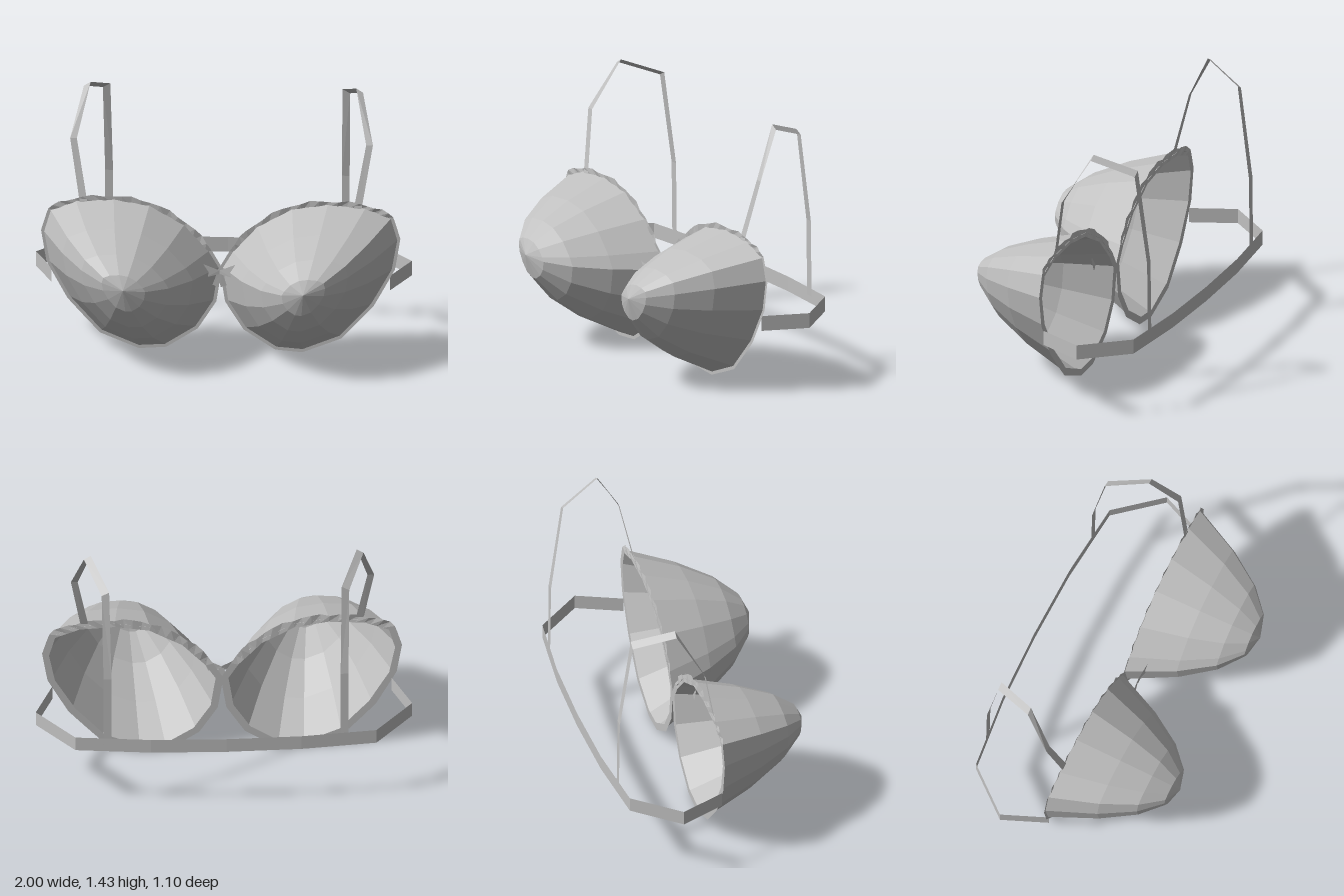
import * as THREE from 'three';

const fabric = new THREE.MeshStandardMaterial({ color: 0xc0c0c0, side: THREE.DoubleSide });
fabric.name = 'greyFabric';

// Cup apex and rim outline (left cup), counter-clockwise from the outer side
const APEX = [0.48, 0.54];
const RIM_Z = -0.02, TIP_Z = 0.55;
const OUTLINE = [
  [0.94, 0.655], [0.905, 0.775], [0.77, 0.83], [0.57, 0.845], [0.38, 0.815],
  [0.195, 0.71], [0.065, 0.565], [0.012, 0.475], [0.04, 0.29], [0.135, 0.14],
  [0.297, 0.035], [0.436, 0.025], [0.635, 0.107], [0.80, 0.29], [0.91, 0.487],
];

// Faceted surface between rows of points
function loft(name, rows, closed = false) {
  const n = rows[0].length, pos = [], idx = [];
  rows.forEach(r => r.forEach(p => pos.push(...p)));
  for (let i = 0; i < rows.length - 1; i++) {
    for (let j = 0; j < (closed ? n : n - 1); j++) {
      const k = (j + 1) % n, a = i * n, b = a + n;
      idx.push(a + j, a + k, b + j, a + k, b + k, b + j);
    }
  }
  let g = new THREE.BufferGeometry();
  g.setAttribute('position', new THREE.Float32BufferAttribute(pos, 3));
  g.setIndex(idx);
  g = g.toNonIndexed();
  g.computeVertexNormals();
  const mesh = new THREE.Mesh(g, fabric);
  mesh.name = name;
  return mesh;
}

// Flat ribbon: each path entry is a centre and a half-width vector
function ribbon(name, path) {
  const edge = s => path.map(([c, w]) => c.map((v, i) => v + s * w[i]));
  return loft(name, [edge(-1), edge(1)]);
}

// Parabolic cup made of rings shrinking toward the apex
function cup(side) {
  const rows = [1, 0.75, 0.5, 0.25, 0.001].map(s => OUTLINE.map(([x, y]) => [
    side * (APEX[0] + s * (x - APEX[0])),
    APEX[1] + s * (y - APEX[1]),
    TIP_Z - (TIP_Z - RIM_Z) * s * s,
  ]));
  return loft('cup', rows, true);
}

// Flat piping round the rim, ruffled along the upper edge
function trim(side) {
  const inner = [], outer = [], STEPS = 4;
  OUTLINE.forEach((p, i) => {
    const q = OUTLINE[(i + 1) % OUTLINE.length];
    const ruffled = i >= 1 && i <= 5;
    for (let k = 0; k < STEPS; k++) {
      const t = k / STEPS;
      const x = p[0] + (q[0] - p[0]) * t, y = p[1] + (q[1] - p[1]) * t;
      const dx = x - 0.48, dy = y - 0.45, len = Math.hypot(dx, dy);
      const out = ruffled ? [0.016, 0.03, 0.034, 0.024][k] : 0.018;
      const z = RIM_Z + (ruffled ? (k % 2) * 0.008 : 0);
      const at = (d, zz) => [side * (x + dx / len * d), y + dy / len * d, zz];
      inner.push(at(-0.022, RIM_Z));
      outer.push(at(out, z));
    }
  });
  return loft('rimTrim', [inner, outer], true);
}

// Shoulder strap from the cup over the top and down to the back band
function strap(side) {
  const path = [
    [[0.73, 0.83, -0.012], [0.02, -0.003, 0]],
    [[0.788, 1.165, -0.08], [0.018, 0, 0]],
    [[0.725, 1.422, -0.222], [0.018, -0.011, 0]],
    [[0.638, 1.335, -0.44], [0.02, -0.011, 0]],
    [[0.63, 0.83, -0.51], [0.021, 0, 0]],
    [[0.63, 0.41, -0.515], [0.021, 0, 0]],
  ];
  return ribbon('shoulderStrap', path.map(([c, w]) =>
    [[side * c[0], c[1], c[2]], [side * w[0], w[1], w[2]]]));
}

// Small centre bow: a flared loop and a short tail per side
function bowHalf(side) {
  const g = new THREE.Group();
  g.name = 'bowHalf';
  g.add(ribbon('bowLoop', [
    [[0, 0.48, 0.065], [0, 0.01, 0]],
    [[side * 0.085, 0.495, 0.08], [side * 0.015, 0.04, 0]],
  ]));
  g.add(ribbon('bowTail', [
    [[0, 0.48, 0.065], [0.012, 0, 0]],
    [[side * 0.022, 0.40, 0.06], [0.016, side * 0.006, 0]],
  ]));
  return g;
}

export function createModel() {
  const model = new THREE.Group();
  model.name = 'brassiere';

  for (const side of [1, -1]) {
    const half = new THREE.Group();
    half.name = side > 0 ? 'leftHalf' : 'rightHalf';
    half.add(cup(side), trim(side), strap(side), bowHalf(side));
    model.add(half);
  }

  // Band round the back
  const halfBand = [[0.90, -0.02], [1.0, -0.26], [0.8, -0.5], [0.4, -0.54]];
  const bandPath = [
    ...halfBand, [0, -0.55],
    ...halfBand.map(([x, z]) => [-x, z]).reverse(),
  ];
  model.add(ribbon('backBand', bandPath.map(([x, z]) => [[x, 0.41, z], [0, 0.041, 0]])));
  return model;
}
